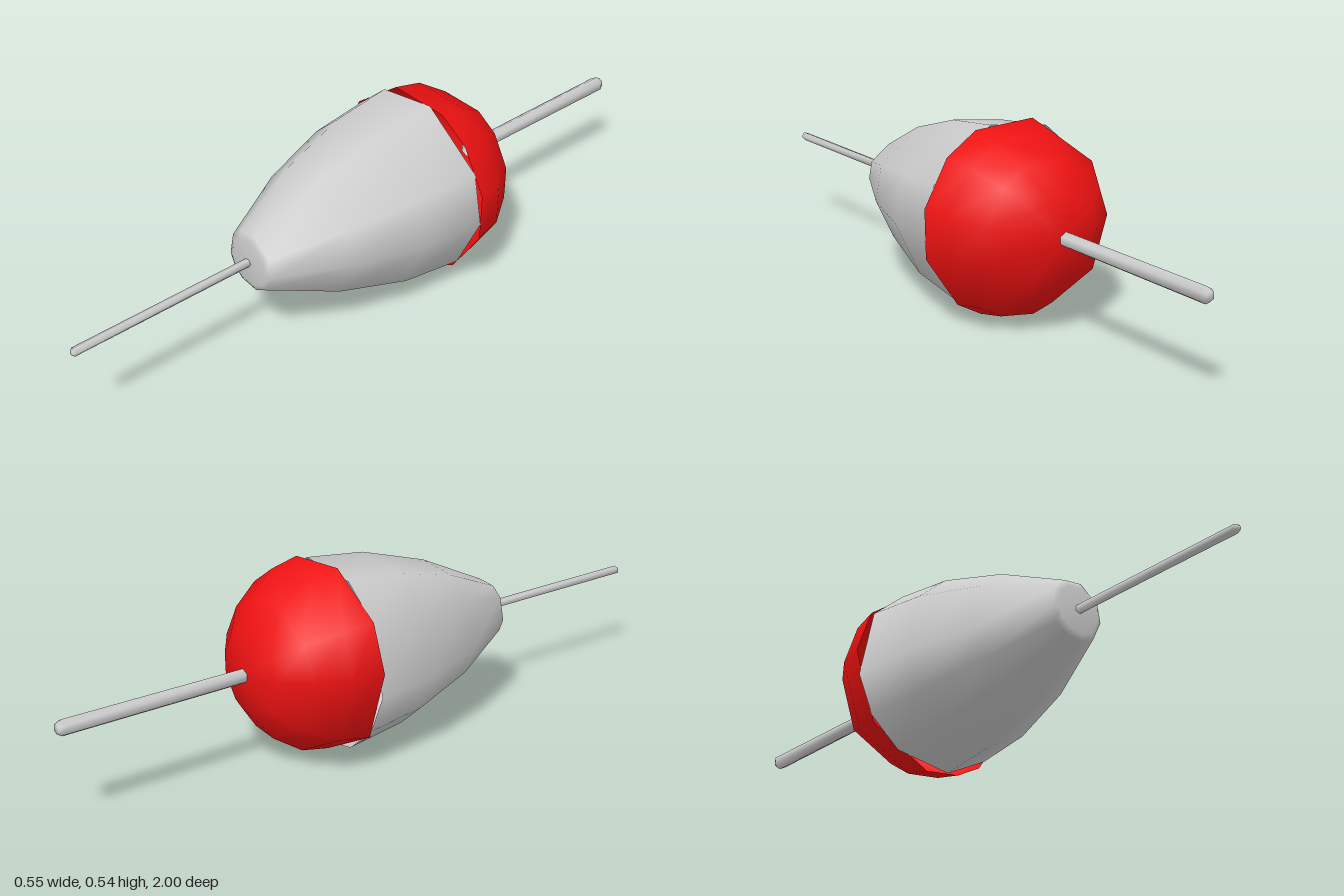
import * as THREE from 'three';
import { mergeVertices } from 'three/addons/utils/BufferGeometryUtils.js';

const AXIS_Y = 0.278;

// Smooth shell around the z axis: profile of [radius, z] from back to front,
// with one facet corner at each angle (degrees, ascending).
function shell(profile, angles) {
  const n = angles.length, pos = [], index = [];
  for (const [r, z] of profile) {
    for (const deg of angles) {
      const a = THREE.MathUtils.degToRad(deg);
      pos.push(r * Math.cos(a), r * Math.sin(a), z);
    }
  }
  for (let j = 0; j < profile.length - 1; j++) {
    for (let i = 0; i < n; i++) {
      const k = (i + 1) % n;
      const a = j * n + i, b = j * n + k, c = a + n, d = b + n;
      if (profile[j][0] > 0) index.push(a, b, c);
      if (profile[j + 1][0] > 0) index.push(b, d, c);
    }
  }
  let geo = new THREE.BufferGeometry();
  geo.setAttribute('position', new THREE.Float32BufferAttribute(pos, 3));
  geo.setIndex(index);
  geo = mergeVertices(geo);
  geo.computeVertexNormals();
  return geo;
}

function evenAngles(n, start) {
  return Array.from({ length: n }, (_, i) => start + (i * 360) / n);
}

export function createModel() {
  const group = new THREE.Group();
  const grey = new THREE.MeshStandardMaterial({ color: 0xcccccc, side: THREE.DoubleSide });
  const red = new THREE.MeshStandardMaterial({ color: 0xee1111, side: THREE.DoubleSide });

  const add = (name, geo, material) => {
    const mesh = new THREE.Mesh(geo, material);
    mesh.name = name;
    mesh.position.y = AXIS_Y;
    group.add(mesh);
  };

  // Tapered float body with uneven hand-cut facets
  add('body', shell(
    [[0.271, -0.18], [0.249, 0.01], [0.186, 0.22], [0.088, 0.425], [0.07, 0.434], [0, 0.436]],
    [-170, -144, -118, -79, -47, -6, 27, 77, 117, 145]
  ), grey);

  // Rounded cap, open where it meets the body
  add('cap', shell(
    [[0, -0.446], [0.12, -0.42], [0.2, -0.36], [0.26, -0.268], [0.278, -0.18]],
    [-140, -95, -71, -53, -16, 13, 44, 67, 106, 146, 175]
  ), red);

  // Thin front stem
  add('frontStem', shell(
    [[0.013, 0.4], [0.013, 0.992], [0.007, 1], [0, 1]], evenAngles(5, 70)
  ), grey);

  // Thicker rear stem
  add('rearStem', shell(
    [[0, -1], [0.014, -1], [0.023, -0.985], [0.021, -0.4]], evenAngles(6, 30)
  ), grey);

  return group;
}
